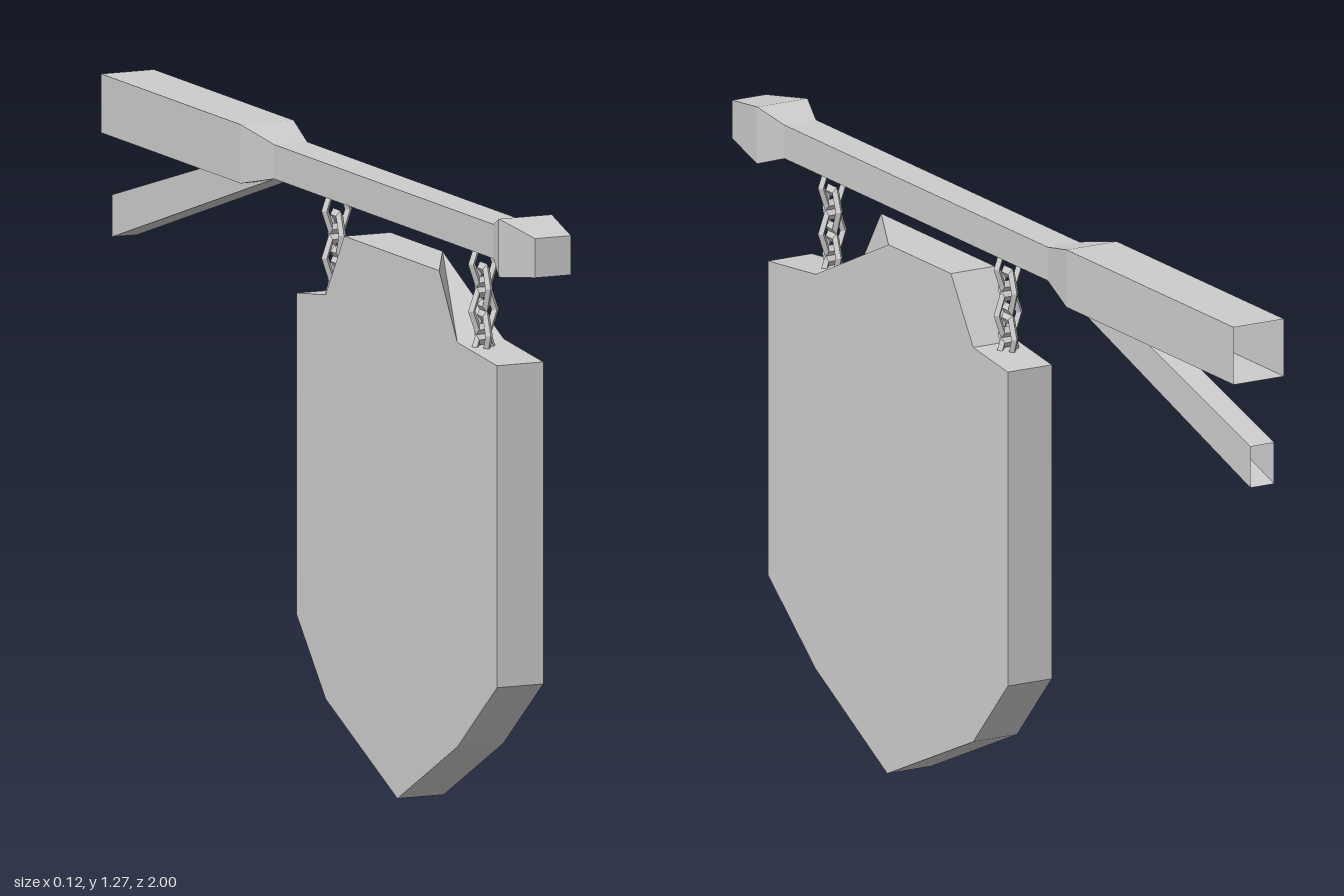
import * as THREE from 'three';

const CX = -0.004; // centre line of the beam and chains
const grey = new THREE.MeshStandardMaterial({ color: 0xcccccc, flatShading: true });
const greyOpen = new THREE.MeshStandardMaterial({ color: 0xcccccc, flatShading: true, side: THREE.DoubleSide });

// Square tube through sections [z, yBottom, yTop, halfWidth], front to back; closed in front, open behind
function squareTube(name, sections) {
  const points = [], index = [0, 1, 2, 0, 2, 3];
  sections.forEach(([z, y0, y1, w], s) => {
    points.push(CX - w, y0, z, CX + w, y0, z, CX + w, y1, z, CX - w, y1, z);
    if (s === 0) return;
    for (let i = 0; i < 4; i++) {
      const a = (s - 1) * 4 + i, b = (s - 1) * 4 + (i + 1) % 4;
      index.push(a, a + 4, b, b, a + 4, b + 4);
    }
  });
  const indexed = new THREE.BufferGeometry();
  indexed.setAttribute('position', new THREE.Float32BufferAttribute(points, 3));
  indexed.setIndex(index);
  const geometry = indexed.toNonIndexed();
  geometry.computeVertexNormals();
  const mesh = new THREE.Mesh(geometry, greyOpen);
  mesh.name = name;
  return mesh;
}

// Shield-shaped board, outline given as [z, y]
function createBoard() {
  const outline = [
    [0.82, 0.3], [0.635, 0.15], [0.355, 0], [0.02, 0.15], [-0.115, 0.3], [-0.115, 0.957],
    [0.02, 0.975], [0.107, 1.108], [0.55, 1.108], [0.635, 0.975], [0.82, 0.957],
  ];
  const shape = new THREE.Shape(outline.map(([z, y]) => new THREE.Vector2(-z, y)));
  const geometry = new THREE.ExtrudeGeometry(shape, { depth: 0.103, bevelEnabled: false });
  geometry.rotateY(Math.PI / 2).translate(-0.043, 0, 0);
  // One top corner is chipped back on the +x face
  const p = geometry.attributes.position;
  for (let i = 0; i < p.count; i++) {
    if (p.getX(i) > 0 && p.getY(i) > 1.1 && p.getZ(i) > 0.5) p.setZ(i, 0.35);
  }
  geometry.computeVertexNormals();
  const mesh = new THREE.Mesh(geometry, grey);
  mesh.name = 'signBoard';
  return mesh;
}

// Chain of six-sided links, each turned a quarter from the last
function createChain(name, z) {
  const chain = new THREE.Group();
  chain.name = name;
  const link = new THREE.TorusGeometry(0.026, 0.008, 4, 6).scale(1, 1.68, 1);
  for (let i = 0; i < 5; i++) {
    const mesh = new THREE.Mesh(link, grey);
    mesh.name = 'chainLink';
    mesh.position.set(CX, 1.14 - i * 0.048, z);
    mesh.rotation.y = i % 2 ? Math.PI / 2 : 0;
    chain.add(mesh);
  }
  return chain;
}

export function createModel() {
  const model = new THREE.Group();
  model.name = 'hangingSign';
  model.add(
    squareTube('beam', [
      [1, 1.165, 1.245, 0.04],
      [0.87, 1.147, 1.266, 0.059],
      [0.8, 1.172, 1.242, 0.037],
      [-0.225, 1.172, 1.242, 0.037],
      [-0.335, 1.147, 1.267, 0.059],
      [-0.987, 1.147, 1.267, 0.059],
    ]),
    squareTube('brace', [
      [-0.225, 1.174, 1.24, 0.028],
      [-1, 0.93, 1.016, 0.028],
    ]),
    createBoard(),
    createChain('frontChain', 0.675),
    createChain('rearChain', -0.01),
  );
  return model;
}
